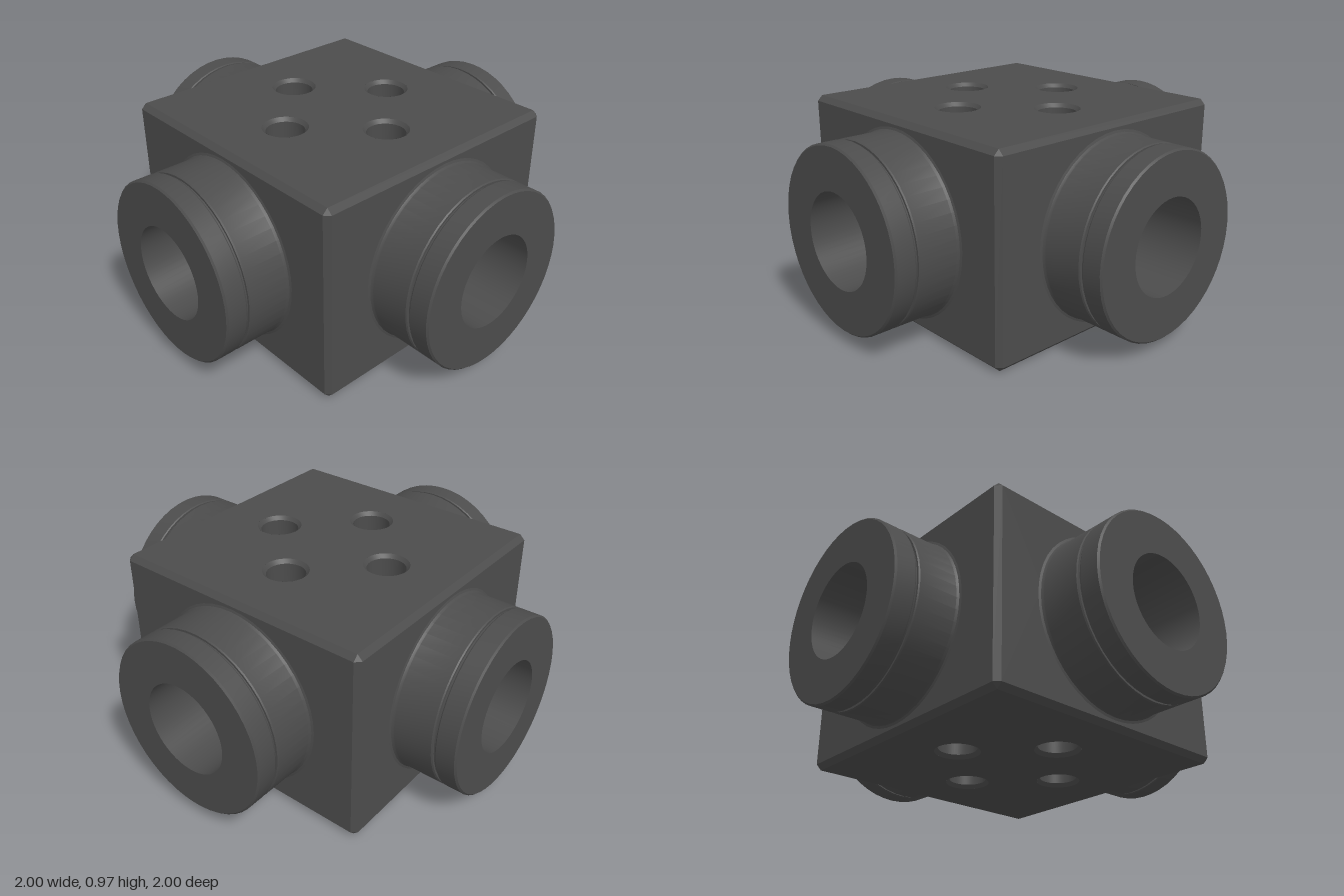
import * as THREE from 'three';
import { toCreasedNormals } from 'three/addons/utils/BufferGeometryUtils.js';

const W = 0.675;        // block half width
const H = 0.485;        // block half height
const CH = 0.025;       // edge chamfer
const BORE = 0.137;     // through bore radius
const HOLE_X = 0.323;   // distance of the drilled holes from the centre

// Rectangle in the xy plane with round holes [x, y, r]
function plate(w, h, holes) {
  const s = new THREE.Shape();
  s.moveTo(-w, -h).lineTo(w, -h).lineTo(w, h).lineTo(-w, h).closePath();
  for (const [x, y, r] of holes) s.holes.push(new THREE.Path().absarc(x, y, r, 0, Math.PI * 2, true));
  return new THREE.ShapeGeometry(s, 32);
}

// Chamfer strips and corner triangles around the block
function chamferGeometry() {
  const size = [W, H, W], pos = [];
  // Corner point lying on the face of the given axis
  const pt = (s, axis) => new THREE.Vector3(...size.map((v, i) => s[i] * (i === axis ? v : v - CH)));
  const tri = (a, b, c) => {
    const n = b.clone().sub(a).cross(c.clone().sub(a));
    const list = n.dot(a) > 0 ? [a, b, c] : [a, c, b];
    for (const p of list) pos.push(p.x, p.y, p.z);
  };
  for (let axis = 0; axis < 3; axis++) {
    const u = (axis + 1) % 3, v = (axis + 2) % 3;
    for (const su of [-1, 1]) for (const sv of [-1, 1]) {
      const lo = [], hi = [];
      lo[axis] = -1; hi[axis] = 1;
      lo[u] = hi[u] = su;
      lo[v] = hi[v] = sv;
      const a = pt(lo, u), b = pt(hi, u), c = pt(hi, v), d = pt(lo, v);
      tri(a, b, c);
      tri(a, c, d);
    }
  }
  for (const x of [-1, 1]) for (const y of [-1, 1]) for (const z of [-1, 1]) {
    const s = [x, y, z];
    tri(pt(s, 0), pt(s, 1), pt(s, 2));
  }
  const g = new THREE.BufferGeometry();
  g.setAttribute('position', new THREE.Float32BufferAttribute(pos, 3));
  g.computeVertexNormals();
  return g;
}

// Turned part about y; its last ring can be trimmed to meet a crossing bore along x
function turned(profile, trim) {
  const g = new THREE.LatheGeometry(profile.map(([r, y]) => new THREE.Vector2(r, y)), 48);
  const p = g.attributes.position, n = profile.length;
  if (trim) {
    for (let i = n - 1; i < p.count; i += n) {
      p.setY(i, Math.sqrt(Math.max(0, BORE * BORE - p.getZ(i) ** 2)));
    }
  }
  return toCreasedNormals(g, 0.5);
}

export function createModel() {
  const model = new THREE.Group();
  const darkGrey = new THREE.MeshStandardMaterial({ color: 0x4c4c4c, side: THREE.DoubleSide });
  darkGrey.name = 'darkGrey';
  const add = (geometry, name, parent) => {
    const m = new THREE.Mesh(geometry, darkGrey);
    m.name = name;
    parent.add(m);
    return m;
  };

  // Block: top and bottom, four sides, chamfered edges
  const block = new THREE.Group();
  block.name = 'block';
  const drilled = [[HOLE_X, 0], [-HOLE_X, 0], [0, HOLE_X], [0, -HOLE_X]].map(([x, y]) => [x, y, 0.107]);
  for (const s of [1, -1]) {
    const g = plate(W - CH, W - CH, drilled).translate(0, 0, H).rotateX(-s * Math.PI / 2);
    add(g, s > 0 ? 'topFace' : 'bottomFace', block);
  }
  const sides = ['front', 'left', 'back', 'right'];
  sides.forEach((side, k) => {
    const g = plate(W - CH, H - CH, [[0, 0, 0.425]]).translate(0, 0, W).rotateY(k * Math.PI / 2);
    add(g, side + 'Face', block);
  });
  add(chamferGeometry(), 'chamferedEdges', block);
  model.add(block);

  // Ports: fillet, grooved collar, stepped socket and bore
  const portProfile = [
    [0.447, W], [0.436, 0.679], [0.43, 0.69], [0.43, 0.878], [0.426, 0.884],
    [0.416, 0.884], [0.416, 0.896], [0.426, 0.896], [0.43, 0.902],
    [0.43, 0.992], [0.422, 1], [0.223, 1],
    [0.223, 0.56], [0.16, 0.56], [BORE, 0.537], [BORE, 0],
  ];
  sides.forEach((side, k) => {
    const g = turned(portProfile, k % 2 === 0).rotateX(Math.PI / 2).rotateY(k * Math.PI / 2);
    add(g, side + 'Port', model);
  });

  // Countersunk holes drilled from above and below into the bores
  const holeProfile = [[0.107, H], [0.091, H - 0.018], [0.091, 0]];
  for (const s of [1, -1]) {
    for (let k = 0; k < 4; k++) {
      const g = turned(holeProfile, true).translate(HOLE_X, 0, 0);
      if (s < 0) g.rotateX(Math.PI);
      g.rotateY(k * Math.PI / 2);
      add(g, s > 0 ? 'topHole' : 'bottomHole', model);
    }
  }

  for (const part of model.children) part.position.y = H;
  return model;
}
